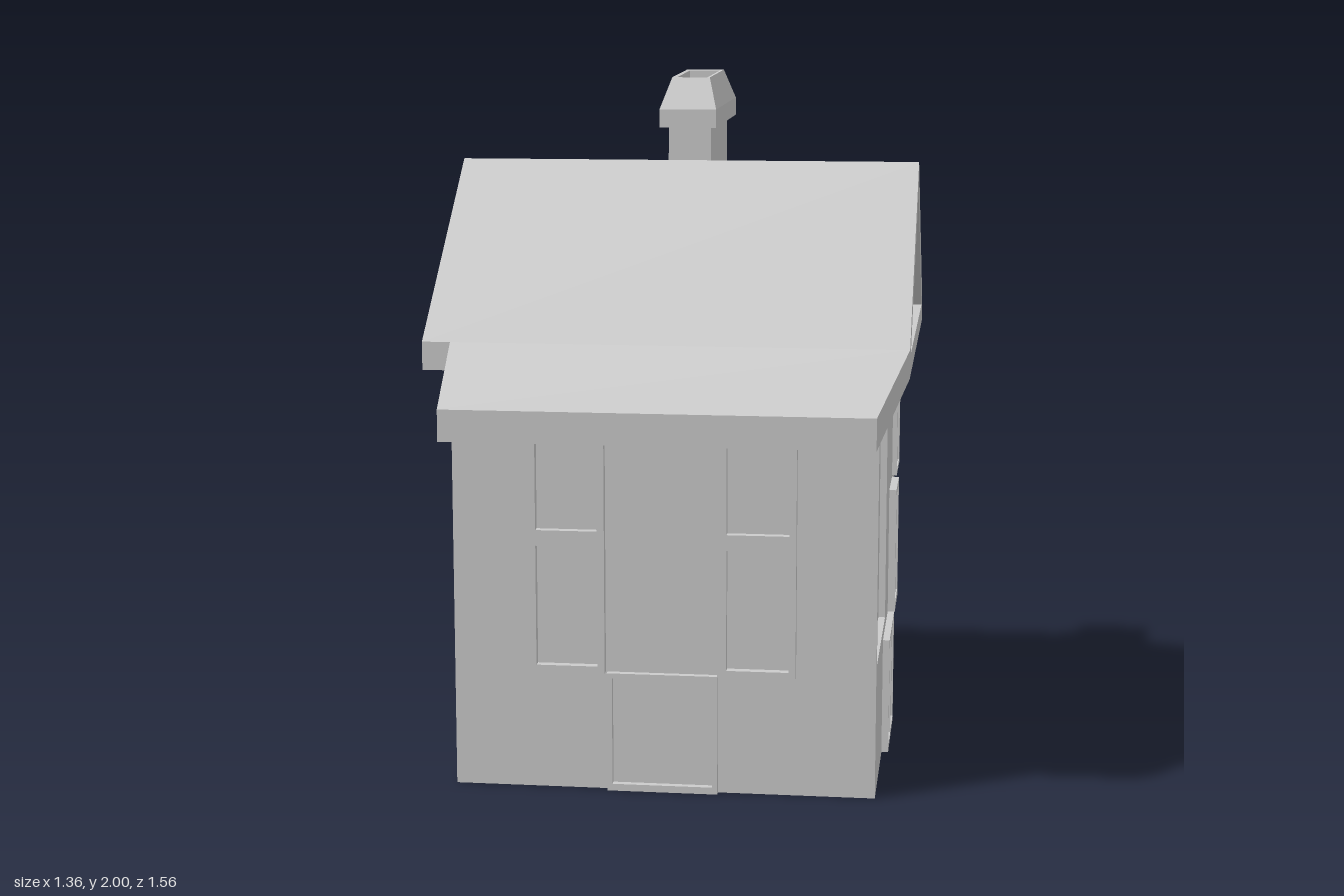
import * as THREE from 'three';

const material = new THREE.MeshStandardMaterial({ color: 0xcccccc, flatShading: true });
const thin = new THREE.MeshStandardMaterial({ color: 0xcccccc, flatShading: true, side: THREE.DoubleSide });

function part(parent, name, geometry, mat = material) {
  const mesh = new THREE.Mesh(geometry, mat);
  mesh.name = name;
  parent.add(mesh);
  return mesh;
}

// Faceted solid through four-cornered rings, capped at both ends
function loft(rings) {
  const pos = [];
  const quad = (a, b, c, d) => pos.push(...a, ...b, ...c, ...a, ...c, ...d);
  for (let r = 0; r < rings.length - 1; r++) {
    const a = rings[r], b = rings[r + 1];
    for (let i = 0; i < 4; i++) {
      const j = (i + 1) % 4;
      quad(a[i], a[j], b[j], b[i]);
    }
  }
  quad(...[...rings[0]].reverse());
  quad(...rings[rings.length - 1]);
  const g = new THREE.BufferGeometry();
  g.setAttribute('position', new THREE.Float32BufferAttribute(pos, 3));
  g.computeVertexNormals();
  return g;
}

const polygon = (points) => new THREE.Shape(points.map(([x, y]) => new THREE.Vector2(x, y)));
const rect = ([x0, x1, y0, y1]) => polygon([[x0, y0], [x1, y0], [x1, y1], [x0, y1]]);

// Flat plate with openings, standing at distance "base" and turned to face a side
function plate(outline, holes, base, depth, turn) {
  outline.holes.push(...holes);
  const g = new THREE.ExtrudeGeometry(outline, { depth, bevelEnabled: false });
  return g.translate(0, 0, base).rotateY(turn);
}

export function createModel() {
  const house = new THREE.Group();
  house.name = 'house';
  const RIGHT = Math.PI / 2, BACK = Math.PI;

  // Walls, with a shallow picture window sunk into the +x side
  const core = new THREE.BoxGeometry(1.18, 1.2, 1.2).translate(-0.01, 0.6, 0);
  part(house, 'walls', core);
  part(house, 'sideWallWithLargeWindow',
    plate(rect([-0.6, 0.6, 0, 1.2]), [rect([-0.57, -0.035, 0.38, 1.09])], 0.58, 0.02, RIGHT));

  // Window and door frames: name, outer rectangle, panes, thickness, facing
  const frames = [
    ['frontDoor', [-0.16, 0.155, 0, 0.345], [[-0.145, 0.14, 0.02, 0.33]], 0.02, 0],
    ['frontWindowRight', [-0.38, -0.165, 0.345, 1.12],
      [[-0.36, -0.185, 0.365, 0.71], [-0.36, -0.185, 0.755, 1.1]], 0.025, 0],
    ['frontWindowLeft', [0.155, 0.375, 0.345, 1.12],
      [[0.18, 0.355, 0.365, 0.71], [0.18, 0.355, 0.755, 1.1]], 0.025, 0],
    ['sideDoubleDoor', [-0.17, 0.17, 0, 0.345],
      [[-0.155, -0.015, 0.015, 0.33], [0.01, 0.155, 0.015, 0.33]], 0.02, RIGHT],
    ['sideMiddleWindow', [0.17, 0.38, 0.345, 0.73], [[0.19, 0.36, 0.37, 0.71]], 0.022, RIGHT],
    ['sideUpperWindow', [0.38, 0.6, 0.735, 1.12], [[0.4, 0.575, 0.75, 1.1]], 0.015, RIGHT],
    ['backWindow', [-0.17, 0.17, 0.345, 1.12], [[-0.14, 0.14, 0.38, 1.09]], 0.03, BACK],
  ];
  for (const [name, outer, panes, depth, turn] of frames) {
    part(house, name, plate(rect(outer), panes.map(rect), 0.6, depth, turn));
  }

  // Roof with triangular gable openings
  const roof = new THREE.Group();
  roof.name = 'roof';
  house.add(roof);
  part(roof, 'roofBody', plate(
    polygon([[-0.6, 1.2], [0.6, 1.2], [0.6, 1.28], [0, 1.75], [-0.6, 1.28]]),
    [polygon([[-0.53, 1.26], [0.53, 1.26], [0, 1.67]])], -0.68, 1.36, RIGHT));

  // Gable panels leaning outwards to the apex
  for (const s of [-1, 1]) {
    const g = new THREE.BufferGeometry();
    g.setAttribute('position', new THREE.Float32BufferAttribute(
      [s * 0.6, 1.26, s * 0.53, s * 0.6, 1.26, -s * 0.53, s * 0.675, 1.67, 0], 3));
    g.computeVertexNormals();
    part(roof, s > 0 ? 'gablePanelLeft' : 'gablePanelRight', g, thin);
  }

  // Sloped soffit under the +x overhang
  part(roof, 'soffit', plate(polygon([[0.6, 1.12], [0.68, 1.2], [0.6, 1.2]]), [], -0.6, 1.2, 0));

  // Eaves, tapering at the +x end
  const eaveRing = (z, y0, y1, bottomX, topX) =>
    [[-0.6, y0, z], [bottomX, y0, z], [topX, y1, z], [-0.6, y1, z]];
  part(roof, 'frontEave', loft([
    eaveRing(0.6, 1.2, 1.28, 0.68, 0.68), eaveRing(0.78, 1.03, 1.12, 0.6, 0.6)]));
  part(roof, 'backEave', loft([
    eaveRing(-0.78, 1.03, 1.12, 0.6, 0.6), eaveRing(-0.6, 1.2, 1.28, 0.68, 0.6)]));

  // Chimney pad following the back slope
  const chimney = new THREE.Group();
  chimney.name = 'chimney';
  house.add(chimney);
  const padRing = (yFront, yBack) =>
    [[0.135, yFront, -0.175], [0.155, yBack, -0.6], [-0.16, yBack, -0.6], [-0.2, yFront, -0.175]];
  part(chimney, 'chimneyPad', loft([padRing(1.5, 1.25), padRing(1.69, 1.37)]));

  // Slightly skewed shaft and hollow cap
  const ring = (y, hx, hz) => [[1, 1], [1, -1], [-1, -1], [-1, 1]].map(([sx, sz]) =>
    [-0.018 + sx * hx - 0.08 * sz * hz, y - 0.07 * sz * hz, -0.385 + sz * hz]);
  part(chimney, 'chimneyShaft', loft([ring(1.3, 0.068, 0.137), ring(1.85, 0.065, 0.132)]));
  part(chimney, 'chimneyCap', loft([
    ring(1.845, 0.087, 0.165), ring(1.9, 0.087, 0.165), ring(1.992, 0.058, 0.115),
    ring(1.99, 0.047, 0.1), ring(1.9, 0.047, 0.1)]));

  return house;
}
